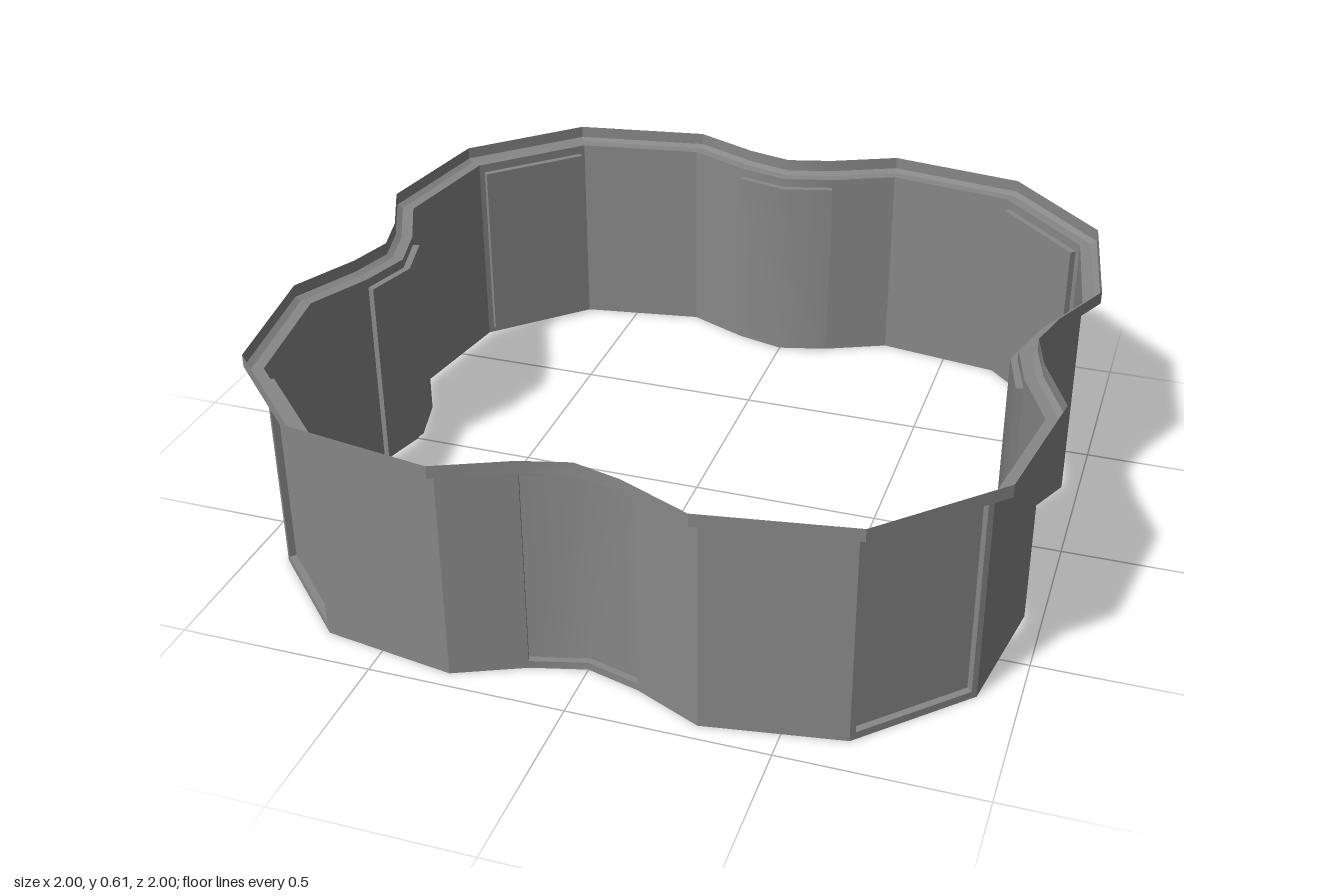
import * as THREE from 'three';

const grey = new THREE.MeshStandardMaterial({ color: 0x888888, side: THREE.DoubleSide });
grey.name = 'grey';

// One quarter of the wall plan [x, z], with one neighbour point at each end
const plan = [
  [-0.655, 0.9],
  [-0.31, 0.955], [-0.138, 0.877], [0, 0.84], [0.138, 0.877], [0.31, 0.955],
  [0.655, 0.9], [0.666, 0.889], [0.889, 0.666], [0.9, 0.655],
  [0.955, 0.31],
  [0.877, 0.138],
];

// Facets of a quarter: plan index range, and columns of a recessed panel if any
const facets = [
  { name: 'waist', from: 1, to: 5, panel: [1, 3] },
  { name: 'leftSide', from: 5, to: 6 },
  { name: 'corner', from: 6, to: 9, panel: [1, 2] },
  { name: 'rightSide', from: 9, to: 10 },
];

const heights = [0, 0.02, 0.545, 0.57];
const recess = -0.018;
// Rim section as [outward offset, height]
const rim = [[0, 0.57], [0.03, 0.57], [0.045, 0.579], [0.045, 0.612]];

// Plan point i moved outward by d with mitred corners
function planPoint(i, d) {
  const normal = (a, b) => new THREE.Vector2(-(b[1] - a[1]), b[0] - a[0]).normalize();
  const n1 = normal(plan[i - 1], plan[i]);
  const n2 = normal(plan[i], plan[i + 1]);
  const k = d / (1 + n1.dot(n2));
  return [plan[i][0] + (n1.x + n2.x) * k, plan[i][1] + (n1.y + n2.y) * k];
}

// Row of 3D points along the plan at one offset and height
function row(from, to, d, y) {
  const points = [];
  for (let i = from; i <= to; i++) {
    const [x, z] = planPoint(i, d);
    points.push([x, y, z]);
  }
  return points;
}

// Smooth sheet through rows of points, optionally leaving out some cells
function sheet(name, rows, skip = () => false) {
  const w = rows[0].length;
  const index = [];
  for (let r = 0; r < rows.length - 1; r++) {
    for (let c = 0; c < w - 1; c++) {
      if (skip(r, c)) continue;
      const a = r * w + c;
      index.push(a, a + 1, a + w + 1, a, a + w + 1, a + w);
    }
  }
  const geometry = new THREE.BufferGeometry();
  geometry.setAttribute('position', new THREE.Float32BufferAttribute(rows.flat(2), 3));
  geometry.setIndex(index);
  geometry.computeVertexNormals();
  const mesh = new THREE.Mesh(geometry, grey);
  mesh.name = name;
  return mesh;
}

function createQuarter() {
  const quarter = new THREE.Group();
  for (const { name, from, to, panel } of facets) {
    // Wall facet, open where the panel sits
    const wallRows = heights.map((y) => row(from, to, 0, y));
    quarter.add(sheet(name + 'Wall', wallRows,
      (r, c) => panel && r === 1 && c >= panel[0] && c < panel[1]));

    // Panel pushed inward, with its four reveal faces
    if (panel) {
      const a = from + panel[0];
      const b = from + panel[1];
      const [, low, high] = heights;
      quarter.add(sheet(name + 'Panel', [row(a, b, recess, low), row(a, b, recess, high)]));
      for (const y of [low, high]) {
        quarter.add(sheet(name + 'Reveal', [row(a, b, 0, y), row(a, b, recess, y)]));
      }
      for (const i of [a, b]) {
        const edge = (y) => [row(i, i, 0, y)[0], row(i, i, recess, y)[0]];
        quarter.add(sheet(name + 'Reveal', [edge(low), edge(high)]));
      }
    }

    // Ledge, chamfer and upright lip of the rim
    ['Ledge', 'Chamfer', 'Lip'].forEach((part, k) => {
      quarter.add(sheet(name + part, [row(from, to, ...rim[k]), row(from, to, ...rim[k + 1])]));
    });
  }
  return quarter;
}

export function createModel() {
  const model = new THREE.Group();
  model.name = 'lobedRing';
  for (let k = 0; k < 4; k++) {
    const quarter = createQuarter();
    quarter.name = 'quarter' + (k + 1);
    quarter.rotation.y = (k * Math.PI) / 2;
    model.add(quarter);
  }
  return model;
}
